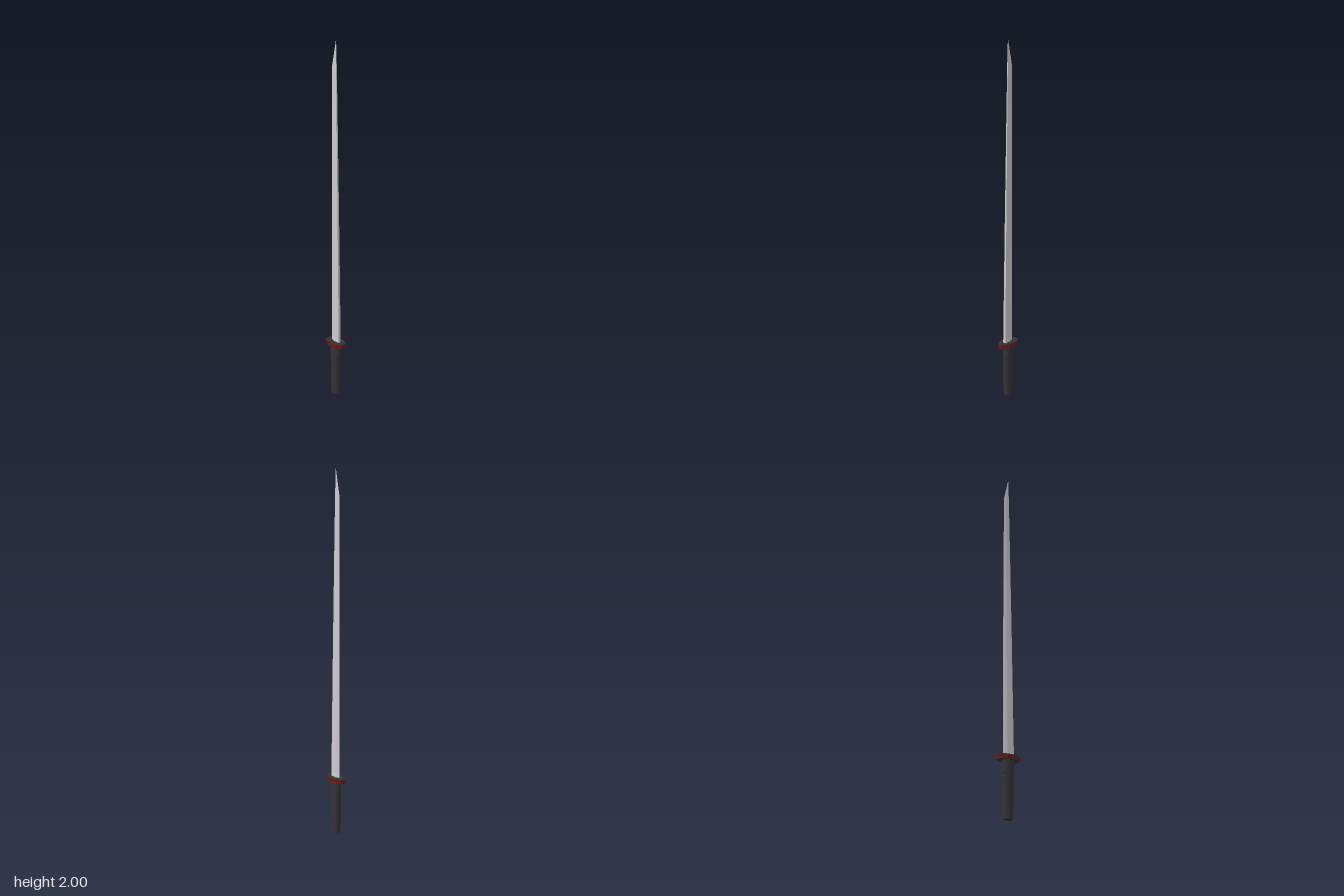
import * as THREE from 'three';

const material = (color) => new THREE.MeshStandardMaterial({ color, flatShading: true });

// Skins a stack of rings (each an array of [x, y, z], clockwise from +z towards +x) and caps the ends.
function loft(name, rings, mat) {
  const pos = [];
  const n = rings[0].length;
  const tri = (a, b, c) => pos.push(...a, ...b, ...c);
  for (let r = 0; r < rings.length - 1; r++) {
    for (let i = 0; i < n; i++) {
      const j = (i + 1) % n;
      const [a, b, c, d] = [rings[r][i], rings[r][j], rings[r + 1][j], rings[r + 1][i]];
      tri(a, b, c);
      tri(a, c, d);
    }
  }
  const low = rings[0];
  const top = rings[rings.length - 1];
  for (let i = 1; i < n - 1; i++) {
    tri(low[0], low[i + 1], low[i]);
    tri(top[0], top[i], top[i + 1]);
  }
  const geo = new THREE.BufferGeometry();
  geo.setAttribute('position', new THREE.Float32BufferAttribute(pos, 3));
  geo.computeVertexNormals();
  const mesh = new THREE.Mesh(geo, mat);
  mesh.name = name;
  return mesh;
}

// Elongated octagon for the guard
const octagon = (y, s) => [
  [0.016, 0.066], [0.037, 0.027], [0.037, -0.027], [0.016, -0.066],
  [-0.016, -0.066], [-0.037, -0.027], [-0.037, 0.027], [-0.016, 0.066],
].map(([x, z]) => [x * s, y, z * s]);

// Oval ring for the grip
const oval = (y, rx, rz) => Array.from({ length: 12 }, (_, i) => {
  const a = ((i + 0.5) / 12) * Math.PI * 2;
  return [Math.sin(a) * rx, y, Math.cos(a) * rz];
});

// Blade section: flat spine at +z, ridge, narrow cutting edge at -z
const section = (y, spine, edge, w) => {
  const at = (t) => spine + (edge - spine) * t;
  return [
    [w * 0.8, y, at(0)], [w, y, at(0.15)], [w * 0.8, y, at(0.65)], [0, y, at(1)],
    [-w * 0.8, y, at(0.65)], [-w, y, at(0.15)], [-w * 0.8, y, at(0)],
  ];
};

export function createModel() {
  const model = new THREE.Group();
  model.name = 'sword';
  const dark = material(0x333333);
  const red = material(0x990000);
  const steel = material(0xcccccc);

  // Grip with a slightly narrower pommel
  model.add(loft('grip', [
    oval(0.035, 0.025, 0.03), oval(0.23, 0.026, 0.031),
    oval(0.235, 0.026, 0.034), oval(0.303, 0.026, 0.034),
  ], dark));
  model.add(loft('pommel', [oval(0, 0.024, 0.027), oval(0.036, 0.024, 0.027)], dark));

  // Guard: red plate between two dark plates
  const guard = new THREE.Group();
  guard.name = 'guard';
  [['lowerPlate', 0.301, 0.308, 0.97, dark], ['redBand', 0.308, 0.319, 1, red],
    ['upperPlate', 0.319, 0.326, 0.97, dark]].forEach(([name, y0, y1, s, mat]) => {
    guard.add(loft(name, [octagon(y0, s), octagon(y1, s)], mat));
  });
  model.add(guard);

  // Tapering blade with an angled tip
  model.add(loft('blade', [
    section(0.32, 0.031, -0.032, 0.01),
    section(1.0, 0.02, -0.032, 0.0075),
    section(1.5, 0.011, -0.031, 0.005),
    section(1.87, 0.004, -0.028, 0.003),
    section(2.0, 0.001, 0, 0.0005),
  ], steel));

  return model;
}
